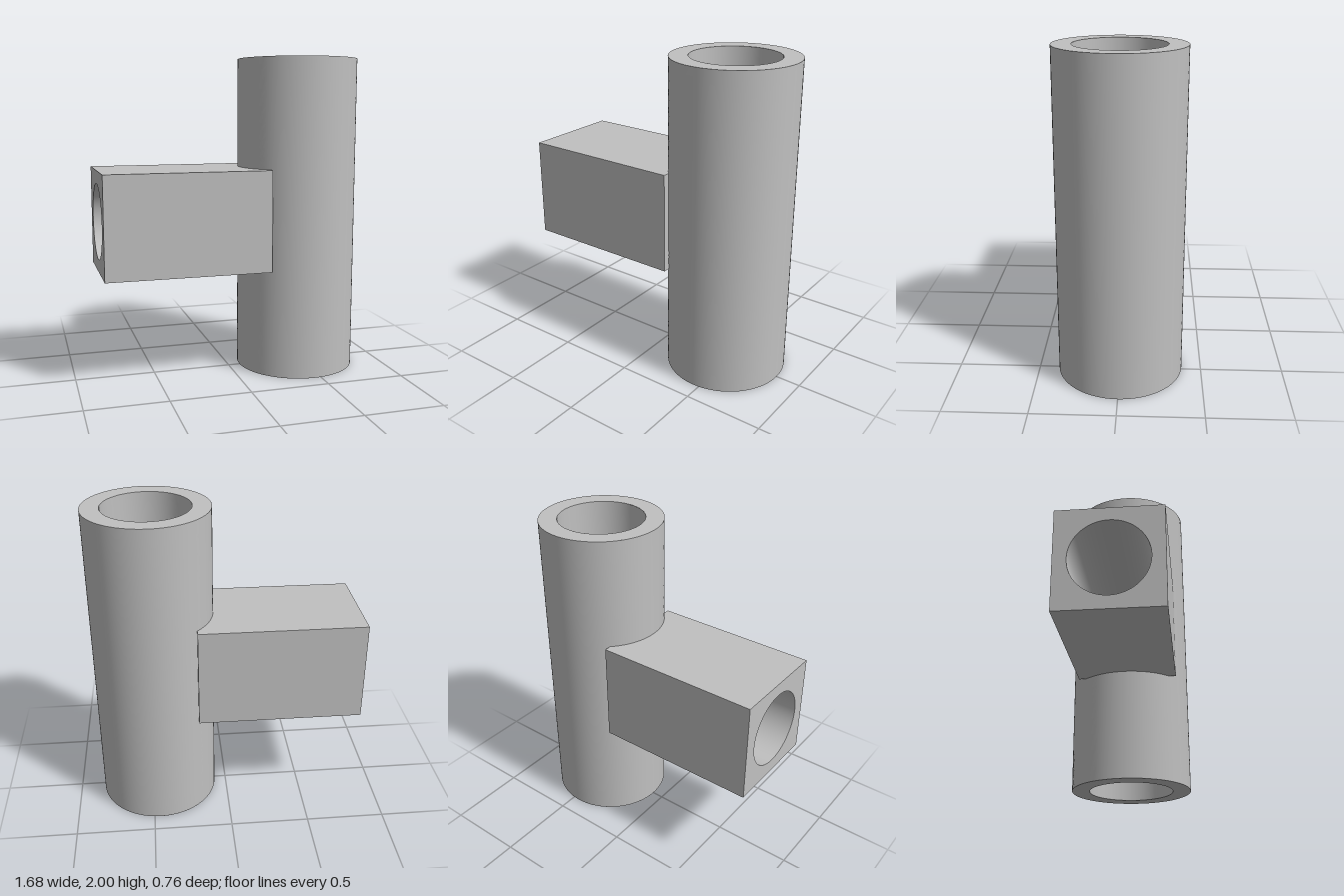
import * as THREE from 'three';
import { toCreasedNormals } from 'three/addons/utils/BufferGeometryUtils.js';
import { ParametricGeometry } from 'three/addons/geometries/ParametricGeometry.js';

const TUBE_X = 0.458, OUTER = 0.382, INNER = 0.268, HEIGHT = 2;
const ARM_START = -0.84, ARM_END = 0.19, ARM_HALF = 0.316, HOLE = 0.235, MID = 1;

export function createModel() {
  const group = new THREE.Group();
  const grey = new THREE.MeshStandardMaterial({ color: 0xc0c0c0, side: THREE.DoubleSide });
  grey.name = 'plain grey';

  const add = (name, geometry) => {
    const mesh = new THREE.Mesh(geometry, grey);
    mesh.name = name;
    group.add(mesh);
    return mesh;
  };

  // Half of a tube wall facing the arm, pierced by the round cross bore
  const piercedWall = (r) => new ParametricGeometry((u, v, p) => {
    const c = Math.cos(u * Math.PI * 2), s = Math.sin(u * Math.PI * 2);
    const m = Math.max(Math.abs(c), Math.abs(s));
    const angle = THREE.MathUtils.lerp(Math.asin(HOLE * c / r), c / m * Math.PI / 2, v);
    const y = THREE.MathUtils.lerp(HOLE * s, s / m * HEIGHT / 2, v);
    p.set(TUBE_X - r * Math.cos(angle), MID + y, r * Math.sin(angle));
  }, 128, 16);

  // Upright tube: outer and inner walls
  for (const [name, r] of [['tubeOuter', OUTER], ['tubeBore', INNER]]) {
    add(name + 'PiercedHalf', piercedWall(r));
    add(name + 'PlainHalf', new THREE.CylinderGeometry(r, r, HEIGHT, 48, 1, true, 0, Math.PI))
      .position.set(TUBE_X, HEIGHT / 2, 0);
  }

  // Ring faces at both ends of the tube
  for (const [name, y, turn] of [['tubeTopRim', HEIGHT, -1], ['tubeBottomRim', 0, 1]]) {
    const rim = add(name, new THREE.RingGeometry(INNER, OUTER, 96));
    rim.rotation.x = turn * Math.PI / 2;
    rim.position.set(TUBE_X, y, 0);
  }

  // Square side arm with a round bore along its length
  const section = new THREE.Shape([[-1, -1], [1, -1], [1, 1], [-1, 1]]
    .map(([x, y]) => new THREE.Vector2(x * ARM_HALF, y * ARM_HALF)));
  section.holes.push(new THREE.Path().absarc(0, 0, HOLE, 0, Math.PI * 2, true));
  const armGeometry = new THREE.ExtrudeGeometry(section, {
    depth: ARM_END - ARM_START, bevelEnabled: false, curveSegments: 64,
  });
  armGeometry.rotateY(Math.PI / 2);
  add('sideArm', toCreasedNormals(armGeometry, 0.5)).position.set(ARM_START, MID, 0);

  // Last stretch of the cross bore, up to the curved tube bore
  add('crossBoreEnd', new ParametricGeometry((u, v, p) => {
    const a = u * Math.PI * 2, z = HOLE * Math.cos(a);
    const end = TUBE_X - Math.sqrt(INNER * INNER - z * z);
    p.set(THREE.MathUtils.lerp(ARM_END - 0.002, end, v), MID + HOLE * Math.sin(a), z);
  }, 64, 2));

  return group;
}
